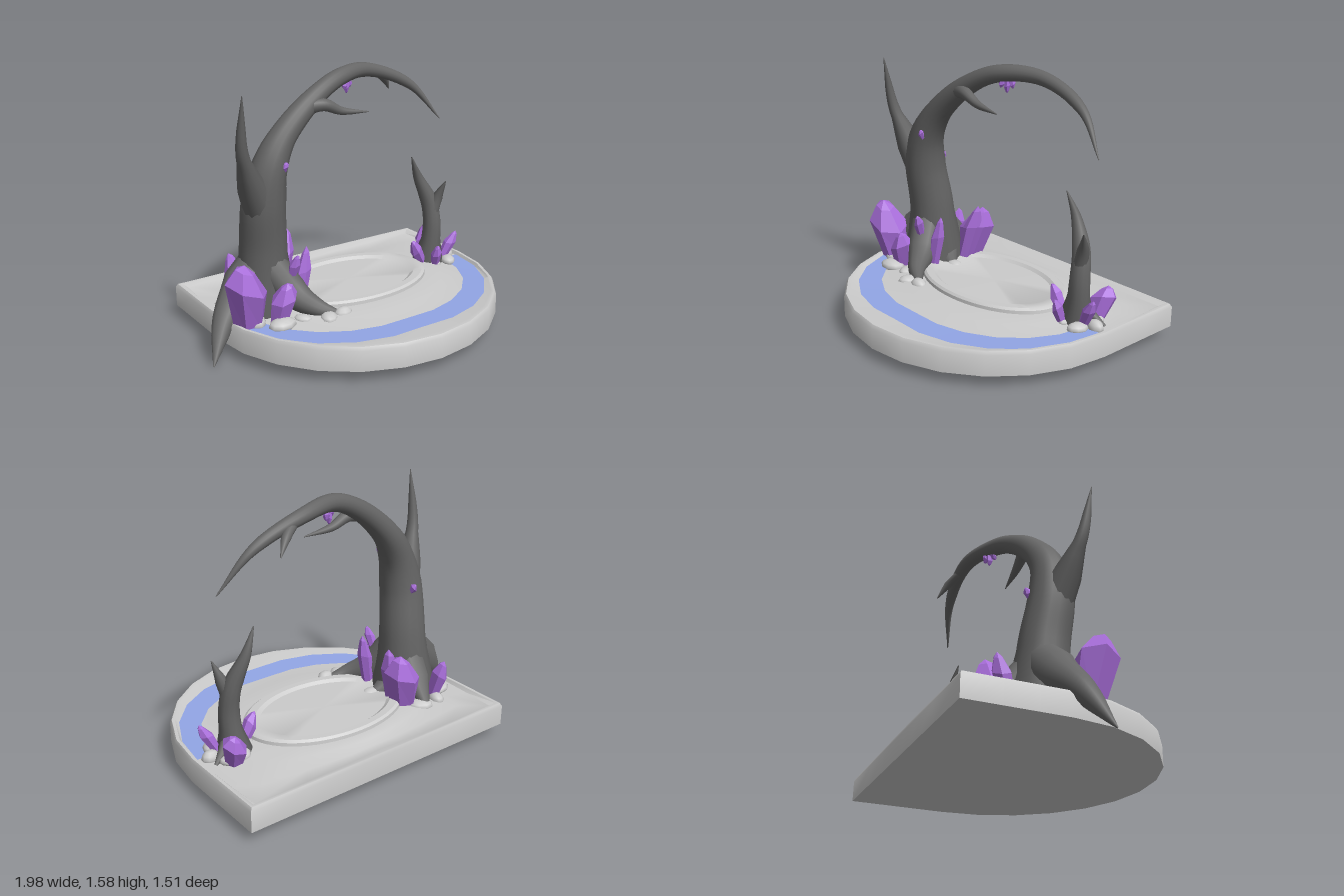
import * as THREE from 'three';
import { toCreasedNormals } from 'three/addons/utils/BufferGeometryUtils.js';

const V = (p) => new THREE.Vector3(p[0], p[1], p[2]);
const lerp = THREE.MathUtils.lerp;
const CX = 0.07, CZ = -0.17, R = 0.925, BACK = 0.59;

export function createModel() {
  const model = new THREE.Group();
  const stone = new THREE.MeshStandardMaterial({ color: 0xcccccc });
  const water = new THREE.MeshStandardMaterial({ color: 0x92a6e6, side: THREE.DoubleSide });
  const bark = new THREE.MeshStandardMaterial({ color: 0x666666 });
  const gem = new THREE.MeshStandardMaterial({ color: 0xa96edb, flatShading: true });

  const add = (name, geometry, material, parent = model) => {
    const mesh = new THREE.Mesh(geometry, material);
    mesh.name = name;
    parent.add(mesh);
    return mesh;
  };
  const group = (name) => {
    const g = new THREE.Group();
    g.name = name;
    model.add(g);
    return g;
  };

  // Skin rows of equal length into a surface
  const loft = (rows) => {
    const n = rows[0].length, index = [];
    for (let r = 0; r < rows.length - 1; r++) {
      for (let i = 0; i < n - 1; i++) {
        const a = r * n + i, b = a + 1, c = a + n, d = c + 1;
        index.push(a, c, b, b, c, d);
      }
    }
    const g = new THREE.BufferGeometry();
    g.setAttribute('position', new THREE.Float32BufferAttribute(rows.flat(2), 3));
    g.setIndex(index);
    g.computeVertexNormals();
    return g;
  };

  // Angles round the plinth: half circle in front, square corners behind
  const corner = Math.atan2(BACK, R), angles = [];
  const sweep = (from, to, n) => {
    for (let i = 0; i < n; i++) angles.push(lerp(from, to, i / n));
  };
  sweep(0, Math.PI, 12);
  sweep(Math.PI, Math.PI + corner, 3);
  sweep(Math.PI + corner, 2 * Math.PI - corner, 8);
  sweep(2 * Math.PI - corner, 2 * Math.PI, 3);
  angles.push(2 * Math.PI);

  // f = 0 lies on the inner ellipse, f = 1 on the outline
  const plinthPoint = (a, f, y) => {
    const c = Math.cos(a), s = Math.sin(a);
    const reach = s >= -1e-6 ? R : Math.min(R / Math.max(Math.abs(c), 1e-6), BACK / -s);
    return [CX + c * lerp(0.55, reach, f), y, CZ + s * lerp(0.36, reach, f)];
  };
  const row = (f, y) => angles.map((a) => plinthPoint(a, f, y));
  const centre = (y) => angles.map(() => [CX, y, CZ]);
  const innerEdge = (a) => 0.44 + 0.14 * Math.abs(Math.cos(a));
  const outerEdge = (a) => 0.7 + 0.2 * Math.abs(Math.cos(a));
  const plinth = loft([
    centre(0.08), row(1, 0.08), row(1, 0.205), row(0.975, 0.225), row(0.93, 0.225),
    angles.map((a) => plinthPoint(a, outerEdge(a), 0.205)),
    angles.map((a) => plinthPoint(a, innerEdge(a), 0.2)),
    row(0.25, 0.222), row(0, 0.23), centre(0.235),
  ]);
  add('plinth', toCreasedNormals(plinth, 0.7), stone);

  // Curved water channel across the front
  const front = angles.slice(0, 13);
  add('waterChannel', loft([
    front.map((a) => plinthPoint(a, outerEdge(a), 0.209)),
    front.map((a) => plinthPoint(a, innerEdge(a), 0.206)),
  ]), water);

  // Raised oval dais
  const profile = [[0.545, 0.215], [0.54, 0.25], [0.52, 0.262], [0.46, 0.262], [0.43, 0.245], [0, 0.25]];
  const dais = new THREE.LatheGeometry(profile.map((p) => new THREE.Vector2(p[0], p[1])), 56);
  dais.scale(1, 1, 0.65);
  dais.translate(CX, 0, CZ);
  add('dais', toCreasedNormals(dais, 0.6), stone);

  // Limb along a path, its radii spread evenly over the length
  const limb = (parent, name, path, radii, n = 28, sides = 12) => {
    const curve = new THREE.CatmullRomCurve3(path.map(V));
    const geo = new THREE.TubeGeometry(curve, n, 1, sides);
    const pos = geo.attributes.position, v = new THREE.Vector3();
    for (let i = 0; i <= n; i++) {
      const c = curve.getPointAt(i / n), t = (i / n) * (radii.length - 1);
      const k = Math.min(Math.floor(t), radii.length - 2);
      const r = lerp(radii[k], radii[k + 1], t - k);
      for (let j = 0; j <= sides; j++) {
        const q = i * (sides + 1) + j;
        v.fromBufferAttribute(pos, q).sub(c).multiplyScalar(r).add(c);
        pos.setXYZ(q, v.x, v.y, v.z);
      }
    }
    add(name, geo, bark, parent);
  };

  // Large arching tree
  const tree = group('archingTree');
  limb(tree, 'trunkAndArch', [
    [-0.54, 0.18, -0.2], [-0.54, 0.6, -0.175], [-0.55, 0.88, -0.135], [-0.515, 1.07, -0.125],
    [-0.42, 1.23, -0.14], [-0.2, 1.42, -0.17], [0.04, 1.53, -0.22], [0.32, 1.53, -0.31],
    [0.64, 1.4, -0.3], [0.83, 1.17, -0.235],
  ], [0.21, 0.145, 0.13, 0.08, 0.057, 0.046, 0.034, 0.003], 64, 16);
  limb(tree, 'uprightBranch', [[-0.57, 0.82, -0.13], [-0.69, 1.1, -0.06], [-0.735, 1.24, -0.025], [-0.75, 1.55, 0.03]],
    [0.1, 0.085, 0.04, 0.025, 0.002]);
  limb(tree, 'frontTwig', [[-0.26, 1.39, -0.16], [-0.14, 1.4, -0.12], [-0.02, 1.35, -0.115], [0.165, 1.325, -0.1]],
    [0.05, 0.036, 0.02, 0.003]);
  limb(tree, 'backTwig', [[0.4, 1.5, -0.32], [0.48, 1.45, -0.37], [0.55, 1.37, -0.42]], [0.03, 0.026, 0.003]);
  limb(tree, 'leftRoot', [[-0.55, 0.5, -0.2], [-0.7, 0.36, -0.17], [-0.84, 0.24, -0.11], [-0.98, 0.01, 0]],
    [0.12, 0.13, 0.085, 0.05, 0.004]);
  limb(tree, 'frontRoot', [[-0.52, 0.48, -0.12], [-0.43, 0.32, 0], [-0.34, 0.25, 0.11], [-0.19, 0.2, 0.2]],
    [0.1, 0.095, 0.055, 0.004]);
  limb(tree, 'backRoot', [[-0.53, 0.48, -0.22], [-0.5, 0.32, -0.36], [-0.47, 0.2, -0.5]], [0.1, 0.09, 0.02]);
  limb(tree, 'rightRoot', [[-0.52, 0.45, -0.2], [-0.42, 0.28, -0.2], [-0.3, 0.2, -0.16]], [0.1, 0.09, 0.02]);

  // Small forked tree
  const sapling = group('forkedSapling');
  limb(sapling, 'saplingTrunk', [[0.74, 0.2, -0.21], [0.76, 0.46, -0.2], [0.745, 0.62, -0.22], [0.67, 0.8, -0.25], [0.605, 0.945, -0.235]],
    [0.11, 0.065, 0.058, 0.052, 0.03, 0.003]);
  limb(sapling, 'saplingFork', [[0.75, 0.53, -0.2], [0.79, 0.65, -0.185], [0.825, 0.765, -0.145]], [0.045, 0.036, 0.003]);
  limb(sapling, 'saplingRoot', [[0.75, 0.32, -0.2], [0.9, 0.2, -0.27]], [0.05, 0.01]);

  // Six-sided crystal with a slanted point
  const gems = group('crystals');
  const up = new THREE.Vector3(0, 1, 0);
  const crystal = (foot, lean, r, slant = 0.5) => {
    const dir = V(lean), h = dir.length();
    const outline = [[0, 0], [0.72, 0], [1, 0.62], [0.45, 0.9], [0, 1]];
    const geo = new THREE.LatheGeometry(outline.map((p) => new THREE.Vector2(p[0] * r, p[1] * h)), 6, r * 20);
    const pos = geo.attributes.position;
    for (let k = 0; k < pos.count; k++) {
      const y = pos.getY(k);
      if (y > 0.3 * h && y < 0.99 * h) pos.setY(k, y + pos.getX(k) * slant);
    }
    const mesh = add('crystal', geo, gem, gems);
    mesh.position.copy(V(foot));
    mesh.quaternion.setFromUnitVectors(up, dir.normalize());
  };
  // around the large tree
  crystal([-0.73, 0.2, -0.03], [-0.05, 0.4, 0.07], 0.125, -0.5);
  crystal([-0.57, 0.2, 0.04], [0.035, 0.25, 0.05], 0.075);
  crystal([-0.4, 0.2, -0.36], [0.09, 0.37, -0.06], 0.11);
  crystal([-0.37, 0.2, -0.3], [0.095, 0.4, -0.05], 0.06);
  crystal([-0.38, 0.2, -0.05], [0.07, 0.38, -0.015], 0.045);
  crystal([-0.6, 0.2, -0.4], [-0.02, 0.27, -0.08], 0.055);
  // on the bark
  crystal([-0.45, 0.42, -0.02], [0.02, 0.16, 0.055], 0.032);
  crystal([-0.53, 0.87, -0.24], [-0.01, 0.06, -0.045], 0.025);
  crystal([-0.46, 1.07, -0.05], [0, 0.055, 0.025], 0.022);
  // hanging below the arch
  for (let i = -1; i <= 1; i++) {
    crystal([0.1 + i * 0.02, 1.52, -0.24 - i * 0.01], [i * 0.012, -0.1 + Math.abs(i) * 0.03, -i * 0.01], 0.02);
  }
  // around the sapling
  crystal([0.67, 0.21, -0.18], [-0.1, 0.175, 0.01], 0.042);
  crystal([0.72, 0.21, -0.11], [-0.02, 0.15, 0.05], 0.035);
  crystal([0.82, 0.21, -0.17], [0.1, 0.19, 0.03], 0.038);
  crystal([0.8, 0.21, -0.3], [0.03, 0.19, -0.07], 0.075);

  // Worn stones in a ring round each tree's foot
  const stones = group('rootStones');
  const stoneRing = (x, z, rx, rz, count, size) => {
    for (let i = 0; i < count; i++) {
      const a = i / count * Math.PI * 2, r = size * (1 + 0.25 * Math.sin(i * 2.4));
      const mesh = add('stone', new THREE.SphereGeometry(1, 9, 6), stone, stones);
      mesh.position.set(x + rx * Math.cos(a), 0.215, z + rz * Math.sin(a));
      mesh.scale.set(r, 0.035 + 0.01 * Math.cos(i * 1.7), r * 0.75);
      mesh.rotation.y = i * 1.1;
    }
  };
  stoneRing(-0.52, -0.17, 0.22, 0.3, 10, 0.075);
  stoneRing(0.78, -0.2, 0.11, 0.1, 6, 0.055);
  // at the tip of the front root
  stoneRing(-0.27, 0.19, 0.05, 0.02, 2, 0.06);

  return model;
}
